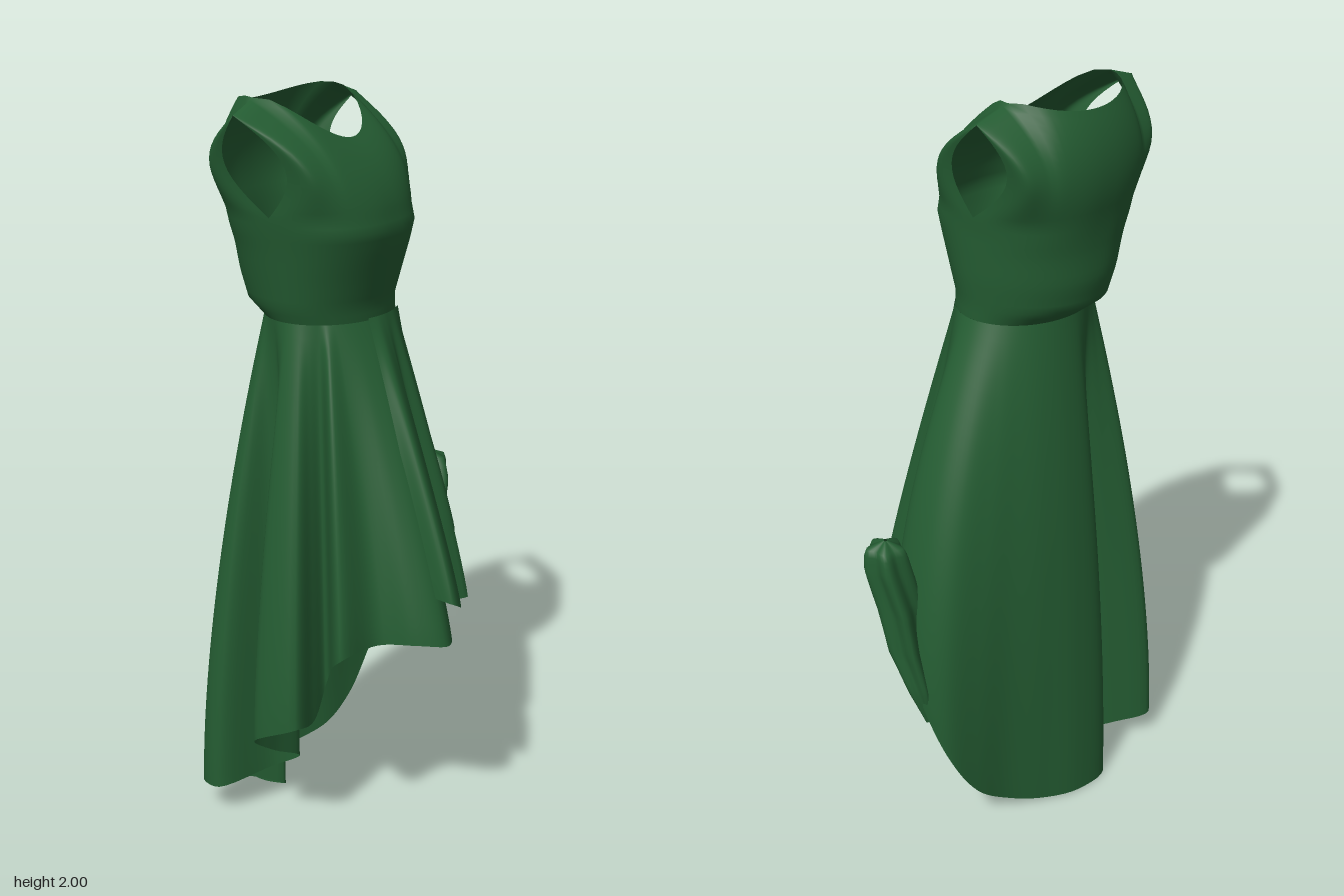
import * as THREE from 'three';
import { mergeVertices, mergeGeometries } from 'three/addons/utils/BufferGeometryUtils.js';

const { lerp, degToRad } = THREE.MathUtils;
const TURN = degToRad(38);          // the dress faces a little towards +x
const WAIST_Y = 1.43;

// Surface through a grid of points: v runs top to bottom, u runs around.
function grid(fn, rows, cols) {
  const pos = [], idx = [];
  for (let r = 0; r <= rows; r++)
    for (let c = 0; c <= cols; c++) pos.push(...fn(c / cols, r / rows));
  for (let r = 0; r < rows; r++)
    for (let c = 0; c < cols; c++) {
      const a = r * (cols + 1) + c, b = a + cols + 1;
      idx.push(a, b, b + 1, a, b + 1, a + 1);
    }
  const g = new THREE.BufferGeometry();
  g.setAttribute('position', new THREE.Float32BufferAttribute(pos, 3));
  g.setIndex(idx);
  return g;
}

// Weld touching edges and smooth across them.
function smooth(...parts) {
  const g = mergeVertices(mergeGeometries(parts), 1e-4);
  g.computeVertexNormals();
  return g;
}

// Linear lookup in rows of [key, value, value, ...].
function lookup(table, key) {
  let i = 0;
  while (i < table.length - 2 && key > table[i + 1][0]) i++;
  const a = table[i], b = table[i + 1];
  const t = THREE.MathUtils.clamp((key - a[0]) / (b[0] - a[0]), 0, 1);
  return a.slice(1).map((v, k) => lerp(v, b[k + 1], t));
}

// Torso levels: y, half width, front depth, back depth, centre x, centre z, squareness
const TORSO = [
  [1.43, 0.195, 0.163, 0.165, -0.045, -0.028, 2.0],
  [1.47, 0.203, 0.170, 0.210, -0.054, -0.028, 2.0],
  [1.54, 0.213, 0.190, 0.225, -0.057, -0.026, 2.1],
  [1.62, 0.222, 0.212, 0.225, -0.062, -0.022, 2.3],
  [1.67, 0.228, 0.225, 0.225, -0.068, -0.022, 2.5],
  [1.72, 0.235, 0.222, 0.222, -0.076, -0.028, 2.5],
  [2.00, 0.250, 0.200, 0.220, -0.122, -0.074, 2.5],
];

// Lateral and depth offsets in the turned torso frame to world position
function place(y, lateral, depth) {
  const [, , , cx, cz] = lookup(TORSO, y);
  const s = Math.sin(TURN), c = Math.cos(TURN);
  return [cx + lateral * c + depth * s, y, cz - lateral * s + depth * c];
}

// Half of the bodice; side is 1 for front, -1 for back
function bodicePanel(side) {
  const armholeY = 1.71, strapStart = 0.62;
  return grid((u, v) => {
    const phi = (u - 0.5) * Math.PI;
    const w = side * Math.sin(phi), k = Math.abs(w);
    const h = (1 - v) * 2;
    const y0 = lerp(WAIST_Y, armholeY, Math.min(h, 1));
    const [W, F, B, , , n] = lookup(TORSO, y0);
    const lat0 = W * Math.sign(w) * k ** (2 / n);
    const depth0 = side * (side > 0 ? F : B) * Math.max(0, Math.cos(phi)) ** (2 / n);
    if (h <= 1) return place(y0, lat0, depth0);
    // Upper half runs to the neckline or to the shoulder seam
    const s = h - 1;
    let lat, y, depth;
    if (k > strapStart) {
      const t = (k - strapStart) / (1 - strapStart);
      lat = Math.sign(w) * lerp(0.18, 0.288, t);
      y = lerp(2.0, 1.965, t);
      depth = 0;
    } else {
      const q = k / strapStart;
      lat = 0.18 * Math.sign(w) * q;
      y = 2.0 - (side > 0 ? 0.11 : 0.03) * (1 - q * q);
      depth = side * (side > 0 ? 0.145 : 0.13) * Math.sqrt(1 - q * q);
    }
    const cut = Math.sin(Math.PI * s) * k ** 4;   // opens the armhole
    return place(lerp(armholeY, y, s),
      lerp(lat0, lat, s) - Math.sign(w) * 0.015 * cut,
      lerp(depth0, depth, s ** 2.2) + side * 0.09 * cut);
  }, 28, 44);
}

// Cloth hanging from the waist to a folded hem of [angle, x, z, y]
function drape(hem, closed, cols, lift) {
  const curve = new THREE.CatmullRomCurve3(
    hem.map(([, x, z, y]) => new THREE.Vector3(x, y, z)), closed);
  const angles = hem.map(p => p[0]);
  if (closed) angles.push(angles[0] + 360);
  return grid((u, s) => {
    const f = u * (angles.length - 1);
    const i = Math.min(Math.floor(f), angles.length - 2);
    const ang = degToRad(lerp(angles[i], angles[i + 1], f - i));
    const sx = Math.sin(ang), sz = Math.cos(ang);
    const end = curve.getPoint(u);
    const [W, F, , cx, cz] = lookup(TORSO, WAIST_Y);
    const local = ang - TURN;
    const r = lift + 1 / Math.hypot(Math.sin(local) / W, Math.cos(local) / F);
    // Flare quickly at the back, more evenly at the front
    const out = 1 - (1 - s) ** (1.38 + 0.28 * Math.cos(ang - degToRad(235)));
    const train = Math.max(0, Math.cos(ang - degToRad(150))) ** 3;
    const bulge = 0.045 * train * Math.sin(Math.PI * s);
    return [
      lerp(cx + r * sx, end.x, out) + bulge * sx,
      lerp(WAIST_Y + lift, Math.max(end.y, 0), s),
      lerp(cz + r * sz, end.z, out) + bulge * sz,
    ];
  }, 30, cols);
}

// Skirt hem: short in front, long behind, with deep folds on both sides
const SKIRT_HEM = [
  [-15, -0.05, 0.34, 0.61], [8, 0.04, 0.40, 0.62], [22, 0.12, 0.41, 0.61],
  [35, 0.17, 0.30, 0.60], [45, 0.17, 0.20, 0.58], [55, 0.23, 0.12, 0.56],
  [63, 0.21, 0.03, 0.55], [75, 0.34, 0.05, 0.57], [88, 0.31, -0.04, 0.54],
  [98, 0.26, -0.11, 0.53], [108, 0.30, -0.18, 0.54], [118, 0.34, -0.23, 0.58],
  [128, 0.30, -0.35, 0.45], [142, 0.23, -0.40, 0.27], [155, 0.14, -0.37, 0.11],
  [168, 0.05, -0.33, 0.04], [185, -0.05, -0.31, 0.01], [205, -0.16, -0.28, 0],
  [222, -0.25, -0.21, 0], [235, -0.23, -0.11, 0.01], [245, -0.18, -0.05, 0.02],
  [255, -0.30, -0.07, 0.06], [263, -0.42, -0.06, 0.08], [272, -0.40, 0.02, 0.09],
  [282, -0.24, 0.01, 0.12], [290, -0.17, 0.05, 0.16], [298, -0.26, 0.10, 0.22],
  [306, -0.34, 0.17, 0.30], [316, -0.26, 0.28, 0.37], [324, -0.19, 0.23, 0.36],
  [331, -0.14, 0.20, 0.46], [338, -0.17, 0.38, 0.60],
];

// Cascading ruffle over the front left of the skirt
const RUFFLE_HEM = [
  [14, 0.08, 0.36, 0.74], [24, 0.13, 0.42, 0.73], [33, 0.20, 0.30, 0.68],
  [42, 0.17, 0.22, 0.78], [50, 0.23, 0.19, 0.84], [60, 0.25, 0.06, 0.85],
  [70, 0.20, 0.04, 0.98],
];

// Gathered cloth levels: y, centre x, centre z, half size x, half size z
const GATHER = [
  [0.36, 0.270, -0.35, 0.010, 0.020], [0.46, 0.290, -0.32, 0.035, 0.060],
  [0.58, 0.318, -0.29, 0.050, 0.082], [0.70, 0.332, -0.285, 0.055, 0.082],
  [0.82, 0.360, -0.29, 0.055, 0.065], [0.88, 0.366, -0.30, 0.047, 0.045],
  [0.90, 0.364, -0.30, 0.004, 0.006],
];

function gatheredTrain() {
  return grid((u, v) => {
    const y = lerp(0.90, 0.36, v), a = u * Math.PI * 2;
    const [cx, cz, rx, rz] = lookup(GATHER, y);
    const fold = 1 + 0.16 * Math.sin(5 * a + 6 * y);
    return [cx + rx * fold * Math.sin(a), y, cz + rz * fold * Math.cos(a)];
  }, 30, 40);
}

export function createModel() {
  const greenCloth = new THREE.MeshStandardMaterial({ color: 0x245c32, side: THREE.DoubleSide });
  greenCloth.name = 'green cloth';
  const dress = new THREE.Group();
  dress.name = 'dress';
  const add = (name, geometry) => {
    const mesh = new THREE.Mesh(geometry, greenCloth);
    mesh.name = name;
    dress.add(mesh);
  };
  add('bodice', smooth(bodicePanel(1), bodicePanel(-1)));
  add('skirt', smooth(drape(SKIRT_HEM, true, 192, 0)));
  add('frontRuffle', smooth(drape(RUFFLE_HEM, false, 48, 0.008)));
  add('gatheredTrain', smooth(gatheredTrain()));
  return dress;
}
